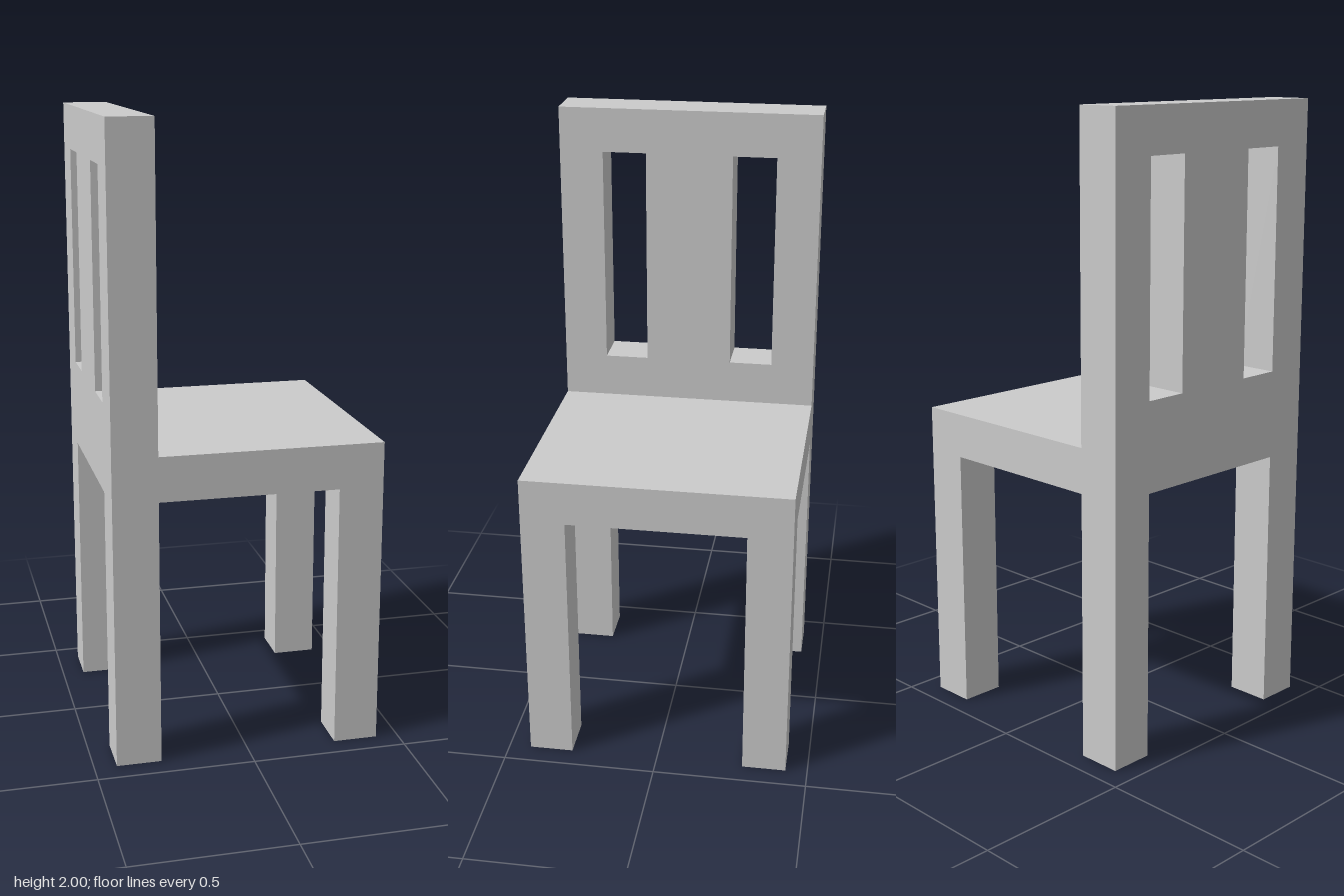
import * as THREE from 'three';

const U = 1 / 7; // leg thickness, the module of the whole chair

export function createModel() {
  const chair = new THREE.Group();
  chair.name = 'chair';
  const material = new THREE.MeshStandardMaterial({ color: 0xcccccc, flatShading: true });

  const add = (name, geometry, x = 0, y = 0, z = 0) => {
    const mesh = new THREE.Mesh(geometry, material);
    mesh.name = name;
    mesh.position.set(x * U, y * U, z * U);
    chair.add(mesh);
  };
  const points = (list) => list.map(([x, y]) => new THREE.Vector2(x * U, y * U));

  // Back frame: both rear legs and the backrest in one upright panel
  const frame = new THREE.Shape(points([
    [-3, 0], [-2, 0], [-2, 6], [2, 6], [2, 0], [3, 0], [3, 14], [-3, 14],
  ]));
  // Two tall slots in the backrest
  for (const x of [-2, 1]) {
    frame.holes.push(new THREE.Path(points([[x, 8], [x, 13], [x + 1, 13], [x + 1, 8]])));
  }
  const frameGeometry = new THREE.ExtrudeGeometry(frame, { depth: U, bevelEnabled: false });
  frameGeometry.rotateY(Math.PI / 2);
  add('backFrame', frameGeometry, -3);

  // Seat slab, butting against the back frame
  add('seat', new THREE.BoxGeometry(5 * U, U, 6 * U), 0.5, 6.5);

  // Front legs
  for (const side of [-1, 1]) {
    add(side > 0 ? 'frontLegA' : 'frontLegB', new THREE.BoxGeometry(U, 6 * U, U), 2.5, 3, 2.5 * side);
  }
  return chair;
}
